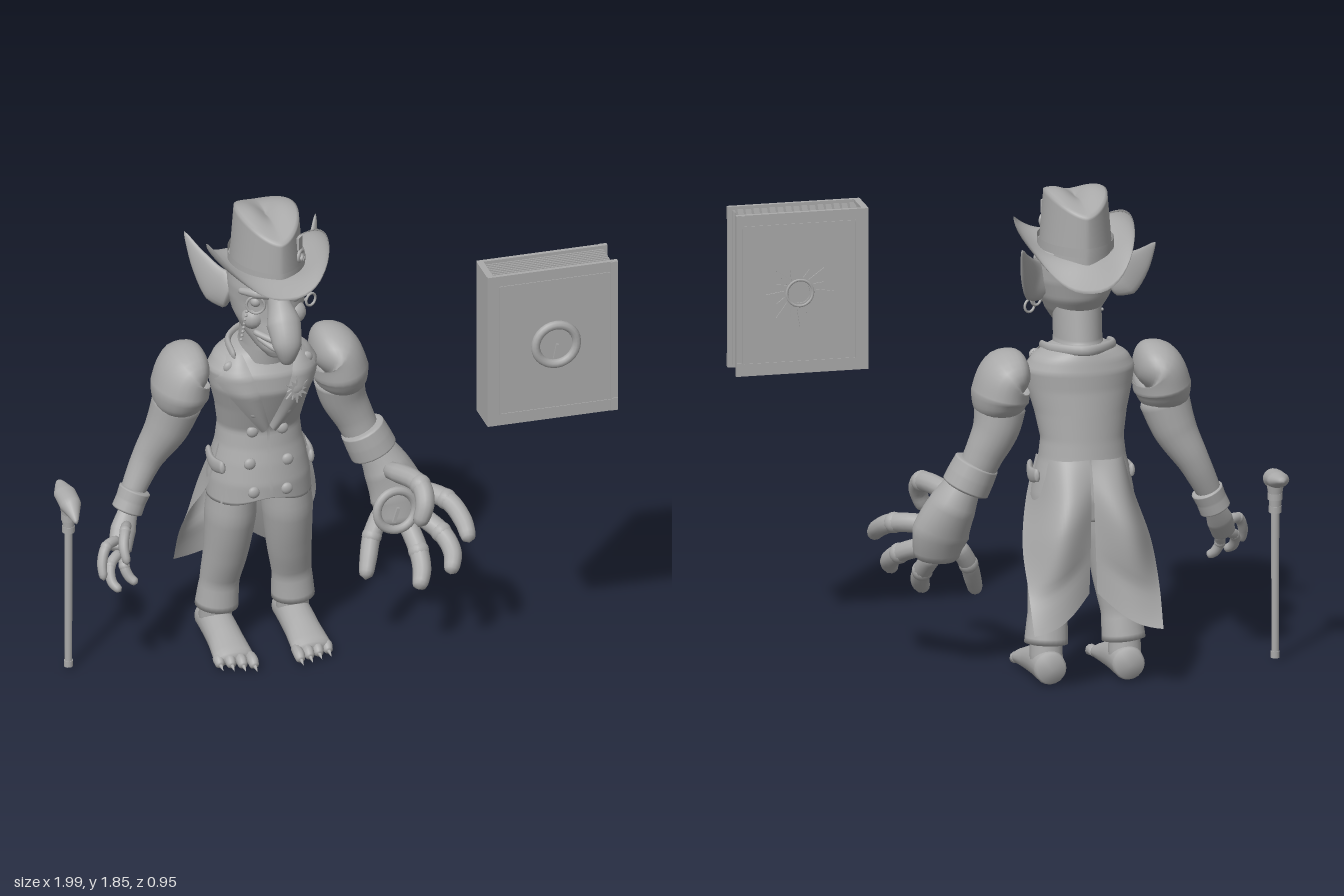
import * as THREE from 'three';
import { mergeVertices } from 'three/addons/utils/BufferGeometryUtils.js';

const V = (x, y, z) => new THREE.Vector3(x, y, z);
const clay = new THREE.MeshStandardMaterial({ color: 0xaaaaaa, side: THREE.DoubleSide });
clay.name = 'clay grey';

// smooth grid surface from f(u, v) -> Vector3
function surf(f, nu, nv) {
  const pos = [], idx = [];
  for (let j = 0; j <= nv; j++) for (let i = 0; i <= nu; i++) pos.push(...f(i / nu, j / nv).toArray());
  for (let j = 0; j < nv; j++) for (let i = 0; i < nu; i++) {
    const a = j * (nu + 1) + i, b = a + nu + 1;
    idx.push(a, a + 1, b + 1, a, b + 1, b);
  }
  let g = new THREE.BufferGeometry();
  g.setAttribute('position', new THREE.Float32BufferAttribute(pos, 3));
  g.setIndex(idx);
  g = mergeVertices(g, 1e-5);
  g.computeVertexNormals();
  return g;
}

// value of a list at t in 0..1
function at(list, t) {
  const k = Math.min(t, 0.99999) * (list.length - 1), i = Math.floor(k);
  return THREE.MathUtils.lerp(list[i], list[i + 1], k - i);
}

// rounded limb along points; rx, ry are radii across, ref fixes the direction of ry
function limb(points, rx, ry = rx, ref = [0, 0, 1], nu = 20, nv = 24, cap = 0.08) {
  const curve = new THREE.CatmullRomCurve3(points.map(p => V(...p)));
  const r = V(...ref);
  return surf((u, v) => {
    const p = curve.getPoint(v), t = curve.getTangent(v), a = u * Math.PI * 2;
    const side = r.clone().cross(t).normalize(), nrm = t.clone().cross(side);
    const e = Math.min(1, v / cap, (1 - v) / cap), k = Math.sqrt(Math.max(0, 1 - (1 - e) ** 2));
    return p.addScaledVector(side, Math.cos(a) * at(rx, v) * k).addScaledVector(nrm, Math.sin(a) * at(ry, v) * k);
  }, nu, nv);
}

// level rings [y, half width, front z, back z], looked up by height
function ringAt(rings, y) {
  let i = 0;
  while (i < rings.length - 2 && y > rings[i + 1][0]) i++;
  const a = rings[i], b = rings[i + 1];
  const k = THREE.MathUtils.clamp((y - a[0]) / (b[0] - a[0]), 0, 1);
  return a.map((n, j) => n + (b[j] - n) * k);
}
function loft(rings, nv = 36, nu = 40, shift = () => 0) {
  const y0 = rings[0][0], y1 = rings[rings.length - 1][0];
  return surf((u, v) => {
    const [y, w, f, b] = ringAt(rings, y0 + (y1 - y0) * v), a = u * Math.PI * 2;
    return V(Math.sin(a) * w, y + shift(a, y), (f + b) / 2 + Math.cos(a) * (f - b) / 2);
  }, nu, nv);
}

const TORSO = [[0.625, 0, -0.2, -0.2], [0.63, 0.2, -0.03, -0.35], [0.72, 0.195, -0.03, -0.36], [0.8, 0.18, -0.045, -0.345],
  [0.86, 0.165, -0.06, -0.33], [0.93, 0.157, -0.07, -0.32], [1.03, 0.175, -0.03, -0.31], [1.12, 0.2, 0.005, -0.3],
  [1.19, 0.21, 0, -0.3], [1.24, 0.18, -0.03, -0.29], [1.27, 0.13, -0.04, -0.28], [1.29, 0.08, -0.06, -0.25]];
function chest(x, y, off = 0) {
  const [, w, f, b] = ringAt(TORSO, y);
  return V(x, y, (f + b) / 2 + (f - b) / 2 * Math.sqrt(Math.max(0, 1 - (x / w) ** 2)) + off);
}

// sun badge plate
function star(r, n, depth) {
  const s = new THREE.Shape();
  for (let i = 0; i < n * 2; i++) {
    const a = i * Math.PI / n, q = i % 2 ? r * 0.45 : i % 4 ? r * 0.75 : r;
    s[i ? 'lineTo' : 'moveTo'](Math.sin(a) * q, Math.cos(a) * q);
  }
  s.holes.push(new THREE.Path().absarc(0, 0, r * 0.3, 0, Math.PI * 2));
  return new THREE.ExtrudeGeometry(s, { depth, bevelEnabled: false });
}

export function createModel() {
  const root = new THREE.Group(), body = new THREE.Group();
  body.name = 'figure';
  body.position.x = -0.207;
  root.add(body);
  const add = (parent, name, geo, p = [0, 0, 0], rot = [0, 0, 0]) => {
    const m = new THREE.Mesh(geo, clay);
    m.name = name;
    m.position.set(...p);
    m.rotation.set(...rot);
    parent.add(m);
    return m;
  };
  const box = (x, y, z) => new THREE.BoxGeometry(x, y, z);
  const ball = (r) => new THREE.SphereGeometry(r, 16, 12);
  const ring = (r, t) => new THREE.TorusGeometry(r, t, 10, 28);

  // torso with a hem that rises at the middle of the front, neck and head
  add(body, 'coat', loft(TORSO, 60, 48, (a, y) => Math.max(0, 0.68 - y) * Math.max(0, Math.cos(a)) ** 8 * 0.8));
  add(body, 'neck', loft([[1.24, 0.1, -0.01, -0.28], [1.3, 0.09, 0.0, -0.25], [1.42, 0.09, 0, -0.23]]));
  add(body, 'head', loft([[1.295, 0, 0.04, 0.03], [1.305, 0.035, 0.07, -0.02], [1.34, 0.07, 0.085, -0.09], [1.39, 0.105, 0.075, -0.17],
    [1.45, 0.132, 0.06, -0.215], [1.52, 0.148, 0.055, -0.235], [1.57, 0.15, 0.07, -0.245], [1.64, 0.145, 0.06, -0.25], [1.68, 0, -0.09, -0.1]]));
  add(body, 'nose', limb([[0, 1.565, 0.03], [0, 1.525, 0.08], [0, 1.48, 0.135], [0, 1.41, 0.18], [0, 1.325, 0.175]],
    [0.04, 0.06, 0.06, 0.047, 0.02], [0.032, 0.045, 0.065, 0.055, 0.02], [1, 0, 0]));
  add(body, 'upperLip', limb([[-0.09, 1.41, 0.03], [0, 1.385, 0.09], [0.09, 1.41, 0.03]], [0.012, 0.016, 0.012], undefined, [0, 1, 0], 10));
  add(body, 'lowerLip', limb([[-0.075, 1.385, 0.03], [0, 1.35, 0.093], [0.075, 1.385, 0.03]], [0.01, 0.014, 0.01], undefined, [0, 1, 0], 10));
  add(body, 'collar', limb([[-0.13, 1.255, -0.06], [-0.115, 1.275, -0.2], [0, 1.28, -0.285], [0.115, 1.275, -0.2], [0.13, 1.255, -0.06]],
    [0.01, 0.012, 0.012, 0.012, 0.01], [0.02, 0.02, 0.02, 0.02, 0.02], [0, 1, 0], 12));
  add(body, 'frontSeam', surf((u, v) => chest((u - 0.5) * 0.012, 0.68 + v * 0.28, 0.006), 2, 12));
  add(body, 'badge', star(0.055, 12, 0.008), [0.09, 1.125, -0.005], [-0.1, 0.3, 0]);

  for (const s of [1, -1]) {
    // face details
    add(body, 'ear', limb([[s * 0.125, 1.5, -0.1], [s * 0.175, 1.53, -0.15], [s * 0.22, 1.6, -0.225], [s * 0.256, 1.69, -0.305]],
      [0.035, 0.024, 0.015, 0.004], [0.065, 0.08, 0.046, 0.004], [-0.4 * s, 0.75, 0.4]));
    add(body, 'brow', limb([[s * 0.03, 1.565, 0.065], [s * 0.08, 1.575, 0.05], [s * 0.135, 1.57, -0.005]], [0.016, 0.02, 0.012], undefined, [0, 1, 0], 10));
    add(body, 'eye', ball(0.022), [s * 0.075, 1.53, 0.025]);
    add(body, 'cheek', ball(0.045), [s * 0.08, 1.455, 0.004]);

    // lapels and buttons
    add(body, 'lapel', surf((u, v) => {
      const inner = [s * 0.1 * (1 - v), 1.265 - 0.3 * v];
      const outer = v < 0.3 ? [s * (0.15 + v * 0.17), 1.255 - v * 0.3] : [s * (0.201 - (v - 0.3) * 0.25), 1.165 - (v - 0.3) * 0.33];
      return chest(inner[0] + (outer[0] - inner[0]) * u, inner[1] + (outer[1] - inner[1]) * u, 0.005 + 0.014 * Math.sin(u * 2.6));
    }, 10, 24));
    for (const [x, y] of [[0.06, 1.035], [0.058, 0.935], [0.073, 0.81], [0.064, 0.7], [0.15, 1.22]])
      add(body, 'button', ball(0.023), chest(s * x, y, 0.002).toArray()).scale.z = 0.6;
    add(body, 'pocketFlap', limb([[s * 0.17, 0.8, -0.07], [s * 0.188, 0.785, -0.16], [s * 0.18, 0.8, -0.25]],
      [0.012, 0.012, 0.012], [0.025, 0.03, 0.025], [0, 1, 0], 10));

    // coat tails, flaring below the waist and sweeping back to an outer point
    const front = new THREE.CatmullRomCurve3([V(s * 0.165, 0.86, -0.15), V(s * 0.205, 0.7, -0.16), V(s * 0.245, 0.54, -0.27), V(s * 0.25, 0.39, -0.39), V(s * 0.247, 0.24, -0.47)]);
    const rear = new THREE.CatmullRomCurve3([V(s * 0.004, 0.87, -0.33), V(s * 0.005, 0.75, -0.365), V(s * 0.008, 0.6, -0.375), V(s * 0.015, 0.37, -0.38)]);
    add(body, 'coatTail', surf((u, v) => {
      const p = front.getPoint(v).lerp(rear.getPoint(v), u), b = Math.sin(u * Math.PI);
      p.z -= b * (0.06 - 0.035 * v + 0.07 * Math.sin(Math.PI * Math.min(1, v * 1.25)));
      p.x += s * b * 0.035 * (1 - v);
      p.y -= b * 0.03 * v;
      return p;
    }, 20, 28));

    // trousers and feet
    add(body, 'trouserLeg', limb([[s * 0.1, 0.74, -0.19], [s * 0.11, 0.56, -0.19], [s * 0.122, 0.4, -0.205], [s * 0.14, 0.26, -0.23], [s * 0.15, 0.13, -0.243]],
      [0.085, 0.096, 0.086, 0.076, 0.084], [0.12, 0.115, 0.085, 0.062, 0.08], undefined, 24, 24, 0.03));
    add(body, 'ankle', limb([[s * 0.15, 0.19, -0.24], [s * 0.15, 0.11, -0.25], [s * 0.15, 0.05, -0.26]], [0.06, 0.062, 0.06]));
    add(body, 'foot', limb([[s * 0.15, 0.07, -0.345], [s * 0.15, 0.075, -0.24], [s * 0.15, 0.06, -0.12], [s * 0.152, 0.036, 0.02]],
      [0.06, 0.065, 0.068, 0.08], [0.06, 0.068, 0.055, 0.03], [0, 1, 0]));
    for (let i = 0; i < 4; i++) {
      const x = s * (0.09 + i * 0.04), z = 0.055 - i * 0.014;
      add(body, 'toe', limb([[x, 0.04, -0.03], [x, 0.038, z - 0.02], [x, 0.02, z + 0.01]], [0.018, 0.022, 0.016], undefined, [0, 1, 0], 10, 10, 0.2));
      add(body, 'toeClaw', new THREE.ConeGeometry(0.011, 0.045, 8), [x, 0.025, z + 0.02], [1.8, 0, 0]);
    }

    // puffed shoulder
    add(body, 'puffSleeve', limb([[s * 0.2, 1.19, -0.185], [s * 0.28, 1.18, -0.185], [s * 0.31, 1.1, -0.18], [s * 0.315, 1.0, -0.185]],
      [0.07, 0.1, 0.108, 0.08], [0.1, 0.148, 0.148, 0.09], undefined, 24, 24, 0.2));
  }

  // eyeglass and earrings
  add(body, 'eyeglass', ring(0.034, 0.005), [-0.085, 1.53, 0.055], [0, -0.4, 0]);
  for (let i = 0; i < 8; i++) add(body, 'eyeglassChain', ball(0.006), [-0.115 - 0.001 * i, 1.5 - i * 0.02, 0.04 - i * 0.007]);
  for (const [x, y] of [[0.16, 1.45], [0.185, 1.425]]) add(body, 'earring', ring(0.024, 0.005), [x, y, -0.13], [0, 0.5, 0]);

  // hat: brim with rolled sides and drooping back, creased crown
  const hat = new THREE.Group();
  hat.name = 'hat';
  body.add(hat);
  add(hat, 'brim', surf((u, v) => {
    // v runs out along the top and back along the underside
    const a = u * Math.PI * 2, s = Math.sin(a), c = Math.cos(a);
    const w = 1 - Math.abs(1 - 2 * v), k = w ** 1.4, wide = Math.sign(s) * Math.abs(s) ** 0.85;
    const y = (1 - k) * (1.64 + 0.015 * c) + k * (1.57 + 0.05 * c + 0.16 * s * s);
    return V(wide * (0.12 + 0.1 * Math.sin(w * Math.PI / 2)), y - (v > 0.5 ? 0.02 * Math.sqrt(1 - w) : 0), -0.085 + 0.015 * w + c * (0.18 + 0.115 * w));
  }, 56, 24));
  add(hat, 'crown', surf((u, v) => {
    const a = u * Math.PI * 2, s = Math.sin(a), c = Math.cos(a);
    const rim = 1.795 + 0.06 * s * s, w = Math.min(1, v / 0.65), t = Math.max(0, (v - 0.65) / 0.35);
    const r = t ? 1 - t : 1, y = t ? rim + (1.825 - rim) * t + 0.018 * Math.sin(t * Math.PI) : 1.6 + (rim - 1.6) * w;
    return V(s * Math.abs(s) ** 0.25 * (0.137 - 0.022 * w) * r, y, -0.09 + c * 0.2 * r);
  }, 56, 28));
  add(hat, 'hatBand', surf((u, v) => {
    const a = u * Math.PI * 2, s = Math.sin(a);
    return V(s * Math.abs(s) ** 0.25 * 0.141, 1.64 + 0.035 * v, -0.09 + Math.cos(a) * 0.206);
  }, 56, 2));
  add(hat, 'hatCharm', box(0.035, 0.05, 0.012), [0.088, 1.76, 0.045], [0, 0.85, 0]);
  add(hat, 'hatCharmRing', ring(0.02, 0.007), [0.092, 1.705, 0.045], [0, 0.85, 0]);

  // arms, cuffs and hands
  const arm = (name, pts, r) => add(root, name, limb(pts, r));
  arm('rightArm', [[-0.515, 1.08, -0.18], [-0.56, 0.94, -0.2], [-0.63, 0.81, -0.22], [-0.715, 0.64, -0.2]], [0.1, 0.084, 0.06, 0.042]);
  arm('rightCuff', [[-0.68, 0.7, -0.205], [-0.7, 0.655, -0.2], [-0.72, 0.61, -0.195]], [0.062, 0.058, 0.06]);
  arm('leftArm', [[0.1, 1.08, -0.18], [0.12, 0.98, -0.19], [0.165, 0.88, -0.185], [0.22, 0.75, -0.165]], [0.1, 0.088, 0.074, 0.065]);
  arm('leftCuff', [[0.185, 0.85, -0.17], [0.21, 0.795, -0.165], [0.235, 0.74, -0.16]], [0.085, 0.09, 0.092]);
  add(root, 'rightPalm', limb([[-0.71, 0.63, -0.19], [-0.745, 0.56, -0.15], [-0.775, 0.49, -0.1]], [0.035, 0.05, 0.045], [0.03, 0.038, 0.032]));
  add(root, 'leftPalm', limb([[0.22, 0.79, -0.16], [0.275, 0.68, -0.145], [0.315, 0.57, -0.12], [0.325, 0.45, -0.09]],
    [0.06, 0.09, 0.11, 0.085], [0.06, 0.09, 0.08, 0.055]));
  const finger = (name, pts, r) => {
    add(root, name, limb(pts, [r, r, r * 0.95, r * 0.75], undefined, [0.3, 0.5, 0.8], 12, 16, 0.12));
    add(root, name + 'Knuckle', ball(r * 1.08), pts[1]);
  };
  finger('leftThumb', [[0.25, 0.7, -0.1], [0.335, 0.71, 0.1], [0.335, 0.66, 0.16], [0.305, 0.575, 0.175]], 0.038);
  finger('leftFinger', [[0.35, 0.6, -0.11], [0.465, 0.585, 0.0], [0.5, 0.54, 0.1], [0.5, 0.49, 0.19]], 0.037);
  finger('leftFinger', [[0.35, 0.52, -0.1], [0.44, 0.46, 0.02], [0.46, 0.41, 0.1], [0.43, 0.36, 0.175]], 0.037);
  finger('leftFinger', [[0.33, 0.49, -0.1], [0.355, 0.39, 0.01], [0.35, 0.335, 0.07], [0.32, 0.29, 0.13]], 0.037);
  finger('leftFinger', [[0.26, 0.53, -0.12], [0.2, 0.43, -0.08], [0.175, 0.365, -0.04], [0.15, 0.295, 0.005]], 0.035);
  finger('rightThumb', [[-0.73, 0.58, -0.15], [-0.765, 0.6, -0.06], [-0.785, 0.56, -0.01], [-0.78, 0.5, 0.025]], 0.02);
  finger('rightFinger', [[-0.77, 0.54, -0.12], [-0.835, 0.54, -0.07], [-0.86, 0.49, -0.04], [-0.862, 0.43, -0.01]], 0.02);
  finger('rightFinger', [[-0.77, 0.5, -0.1], [-0.825, 0.47, -0.05], [-0.83, 0.42, -0.01], [-0.805, 0.395, 0.025]], 0.02);
  finger('rightFinger', [[-0.75, 0.5, -0.11], [-0.765, 0.45, -0.07], [-0.75, 0.41, -0.05], [-0.725, 0.39, -0.03]], 0.02);
  add(root, 'handMedallion', ring(0.077, 0.017), [0.28, 0.55, -0.03], [-0.1, 0.1, 0]);
  add(root, 'handMedallionPin', box(0.012, 0.06, 0.012), [0.28, 0.53, -0.03], [0, 0, -0.3]);

  // walking cane with a beaked head
  const cane = new THREE.Group();
  cane.name = 'cane';
  cane.position.set(-0.955, 0, -0.16);
  root.add(cane);
  add(cane, 'shaft', new THREE.CylinderGeometry(0.016, 0.014, 0.58, 12), [0, 0.31, 0]);
  for (const [y, r] of [[0.03, 0.017], [0.59, 0.024], [0.64, 0.028]]) add(cane, 'collarRing', new THREE.CylinderGeometry(r, r, 0.025, 14), [0, y, 0]);
  add(cane, 'grip', limb([[0, 0.57, 0], [0, 0.64, 0], [0, 0.7, 0]], [0.02, 0.025, 0.035]));
  add(cane, 'beakHead', limb([[0, 0.73, -0.13], [0, 0.715, -0.05], [0, 0.7, 0.03], [0, 0.66, 0.11]], [0.01, 0.042, 0.04, 0.005], [0.008, 0.03, 0.038, 0.006], [0, 1, 0]));

  // floating book
  const book = new THREE.Group();
  book.name = 'book';
  book.position.set(0.745, 1.41, 0.377);
  root.add(book);
  add(book, 'pages', box(0.46, 0.585, 0.125), [-0.005, 0, 0]);
  for (let i = 0; i < 9; i++) add(book, 'pageSheet', box(0.47, 0.595, 0.005), [0, 0, -0.056 + i * 0.014]);
  add(book, 'spine', box(0.025, 0.62, 0.14), [-0.242, 0, 0]);
  for (const s of [1, -1]) {
    add(book, 'cover', box(0.505, 0.62, 0.016), [0, 0, s * 0.068]);
    for (const k of [1, -1]) {
      add(book, 'borderRail', box(0.43, 0.006, 0.004), [0.01, k * 0.265, s * 0.077]);
      add(book, 'borderPost', box(0.006, 0.53, 0.004), [0.01 + k * 0.215, 0, s * 0.077]);
      add(book, 'cornerGuard', box(0.03, 0.05, 0.006), [0.237, k * 0.284, s * 0.077]);
    }
  }
  add(book, 'bookRing', ring(0.08, 0.017), [0.01, 0, 0.082]);
  add(book, 'bookRingPin', box(0.01, 0.06, 0.01), [0.01, -0.03, 0.08], [0, 0, -0.2]);
  add(book, 'bookSun', star(0.13, 16, 0.006), [0.01, 0, -0.081]);
  add(book, 'bookSunRing', ring(0.05, 0.006), [0.01, 0, -0.078]);
  return root;
}
